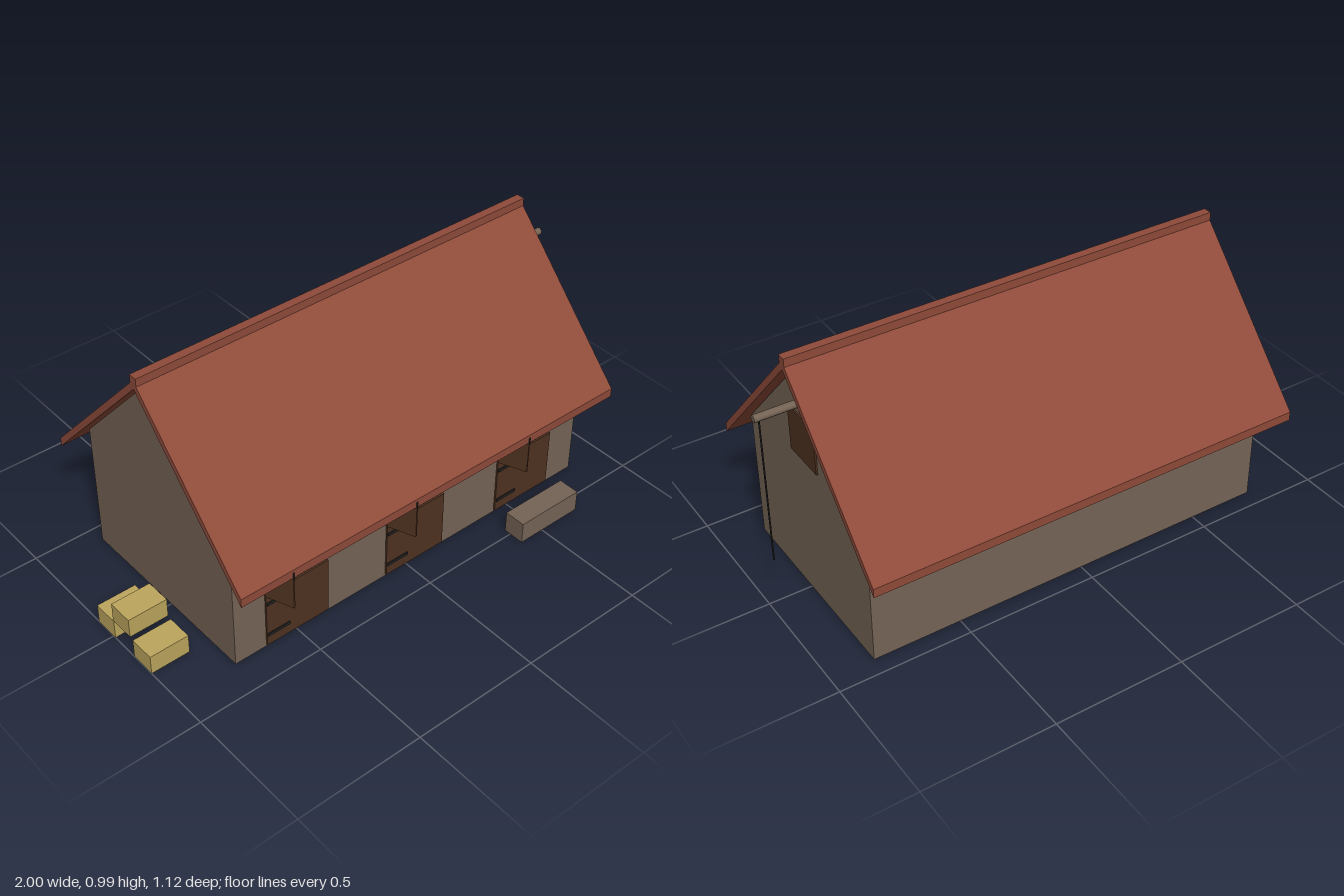
import * as THREE from 'three';

const material = (name, color) => {
  const m = new THREE.MeshStandardMaterial({ color });
  m.name = name;
  return m;
};

export function createModel() {
  const group = new THREE.Group();
  const stone = material('stone', 0x756455);
  const tile = material('roof tile', 0x8f4b3a);
  const wood = material('dark wood', 0x4e3220);
  const iron = material('black iron', 0x222222);
  const straw = material('straw', 0xbca55d);
  const ridgeZ = -0.033;

  const add = (name, geometry, mat, parent = group) => {
    const mesh = new THREE.Mesh(geometry, mat);
    mesh.name = name;
    parent.add(mesh);
    return mesh;
  };
  // Box given by its lower and upper limits
  const box = (name, mat, [x0, x1], [y0, y1], [z0, z1], parent) => {
    const g = new THREE.BoxGeometry(x1 - x0, y1 - y0, z1 - z0);
    g.translate((x0 + x1) / 2, (y0 + y1) / 2, (z0 + z1) / 2);
    return add(name, g, mat, parent);
  };
  // Cross-section in (z, y) extruded along x
  const extrudeX = (name, mat, points, x0, x1) => {
    const shape = new THREE.Shape(points.map(([z, y]) => new THREE.Vector2(z, y)));
    const g = new THREE.ExtrudeGeometry(shape, { depth: x1 - x0, bevelEnabled: false });
    g.rotateY(-Math.PI / 2).translate(x1, 0, 0);
    return add(name, g, mat);
  };

  // Walls with both gables
  extrudeX('walls', stone, [
    [-0.433, 0.003], [0.37, 0.003], [0.37, 0.515], [ridgeZ, 0.943], [-0.433, 0.515],
  ], -0.76, 0.835);

  // Roof slabs and ridge cap
  for (const s of [1, -1]) {
    extrudeX(s > 0 ? 'frontRoof' : 'backRoof', tile, [
      [ridgeZ, 0.947], [ridgeZ + s * 0.523, 0.39], [ridgeZ + s * 0.523, 0.425], [ridgeZ, 0.982],
    ], -0.81, 0.885);
  }
  box('ridgeCap', tile, [-0.81, 0.885], [0.965, 0.996], [ridgeZ - 0.017, ridgeZ + 0.017]);

  // Three stalls, each with a split door whose upper leaf stands open
  for (const x of [-0.63, -0.098, 0.435]) {
    const stall = new THREE.Group();
    stall.name = 'stall';
    stall.position.x = x;
    group.add(stall);
    box('opening', iron, [0, 0.265], [0.25, 0.41], [0.369, 0.373], stall);
    box('lowerDoor', wood, [0, 0.267], [0.012, 0.243], [0.369, 0.377], stall);
    for (const y of [0.06, 0.202]) {
      box('hingeStrap', iron, [0.002, 0.097], [y - 0.006, y + 0.006], [0.376, 0.381], stall);
    }
    const leaf = new THREE.Group();
    leaf.name = 'upperDoor';
    leaf.position.set(-0.008, 0, 0.386);
    leaf.rotation.y = -1.2;
    stall.add(leaf);
    box('upperDoorPanel', wood, [0, 0.111], [0.255, 0.408], [-0.004, 0.004], leaf);
    box('upperDoorLatch', iron, [0.102, 0.113], [0.385, 0.412], [-0.005, 0.005], leaf);
  }

  // Loft hatch, hoist beam and rope on the gable
  box('loftHatch', wood, [0.834, 0.841], [0.57, 0.75], [-0.122, 0.055]);
  const beam = new THREE.CylinderGeometry(0.014, 0.014, 0.17, 12);
  beam.rotateZ(Math.PI / 2).translate(0.915, 0.803, ridgeZ);
  add('hoistBeam', beam, stone);
  const rope = new THREE.CylinderGeometry(0.003, 0.003, 0.58, 6);
  rope.translate(0.98, 0.505, ridgeZ);
  add('hoistRope', rope, iron);

  // Water trough
  box('trough', stone, [0.395, 0.675], [0.004, 0.09], [0.474, 0.559]);

  // Straw bales
  for (const [y, z] of [[0.003, -0.09], [0.003, 0.124], [0.084, 0.008]]) {
    box('bale', straw, [-1, -0.845], [y, y + 0.077], [z, z + 0.101]);
  }
  return group;
}
